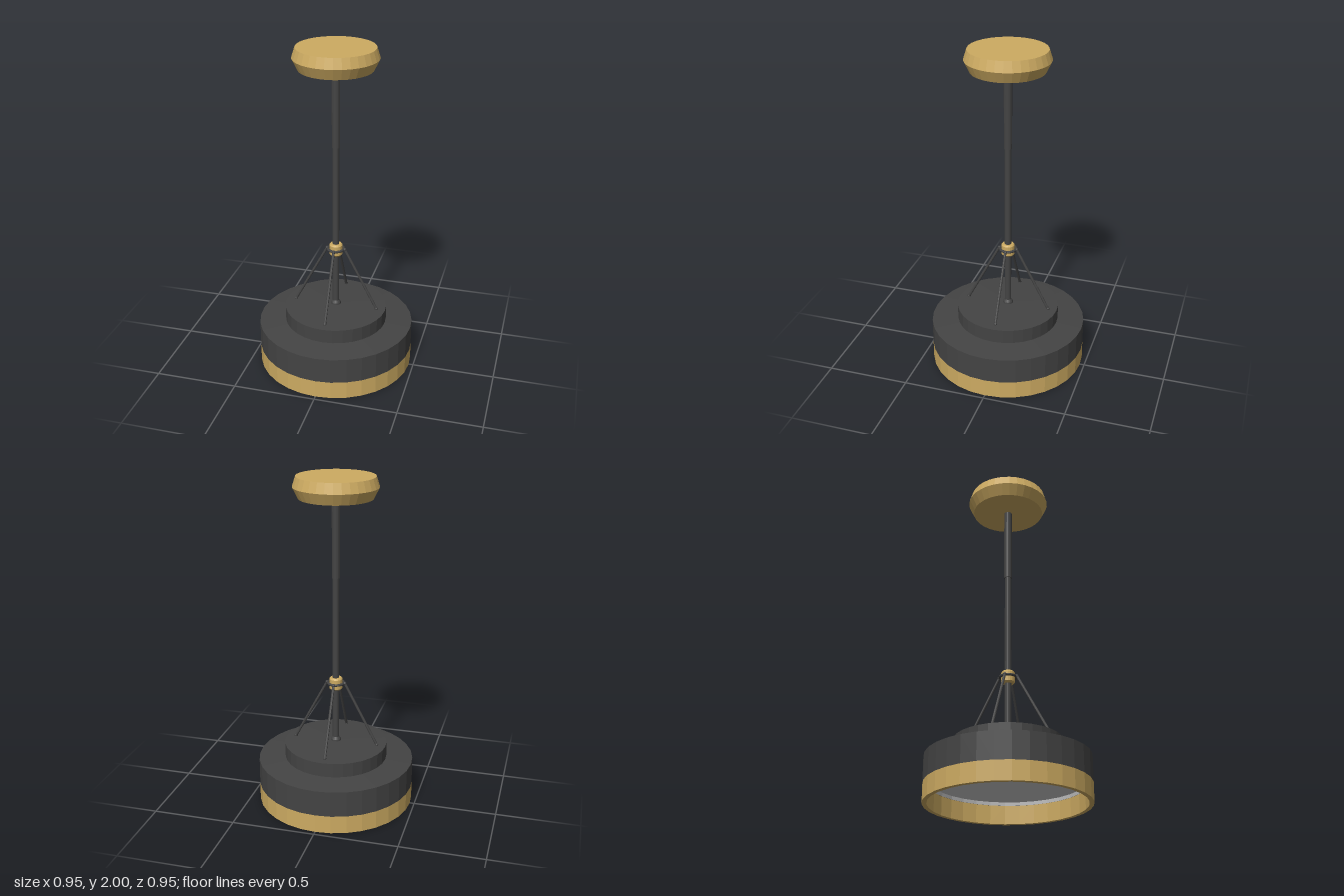
import * as THREE from 'three';

const SIDES = 32;
const paint = (color) => new THREE.MeshStandardMaterial({ color, flatShading: true, side: THREE.DoubleSide });

export function createModel() {
  const model = new THREE.Group();
  model.name = 'pendantLamp';
  const dark = paint(0x444444);
  const brass = paint(0xcdab62);
  const pale = paint(0xcccccc);

  const add = (name, geometry, material) => {
    const mesh = new THREE.Mesh(geometry, material);
    mesh.name = name;
    model.add(mesh);
    return mesh;
  };
  // Turned part from [radius, height] pairs
  const turned = (name, profile, material, sides = SIDES) =>
    add(name, new THREE.LatheGeometry(profile.map(([r, y]) => new THREE.Vector2(r, y)), sides), material);
  // Straight round bar between two points
  const bar = (name, a, b, radius, material) => {
    const mesh = add(name, new THREE.CylinderGeometry(radius, radius, a.distanceTo(b), 10), material);
    mesh.position.copy(a).add(b).multiplyScalar(0.5);
    mesh.quaternion.setFromUnitVectors(new THREE.Vector3(0, 1, 0), b.clone().sub(a).normalize());
  };

  // Ceiling canopy
  turned('canopy', [[0, 1.875], [0.215, 1.875], [0.247, 1.94], [0.228, 2], [0, 2]], brass);

  // Telescoping stem and its foot
  turned('upperStem', [[0, 1.41], [0.024, 1.41], [0.024, 1.88], [0, 1.88]], dark, 16);
  turned('lowerStem', [[0.02, 0.37], [0.02, 1.42]], dark, 16);
  turned('stemFoot', [[0.032, 0.37], [0.03, 0.385], [0.02, 0.4]], dark, 16);

  // Collar with the ring that carries the struts
  turned('collar', [[0.018, 0.715], [0.033, 0.715], [0.04, 0.723], [0.04, 0.782], [0.033, 0.79], [0.018, 0.79]], brass, 20);
  const ring = add('strutRing', new THREE.TorusGeometry(0.048, 0.008, 8, 24), dark);
  ring.rotation.x = Math.PI / 2;
  ring.position.y = 0.755;

  // Four slanting struts with ball ends
  for (let i = 0; i < 4; i++) {
    const angle = i * Math.PI / 2;
    const at = (r, y) => new THREE.Vector3(r * Math.cos(angle), y, r * Math.sin(angle));
    const top = at(0.055, 0.755);
    const foot = at(0.257, 0.372);
    bar('strut', top, foot, 0.008, dark);
    for (const end of [top, foot]) {
      add('strutEnd', new THREE.SphereGeometry(0.0105, 10, 8), dark).position.copy(end);
    }
  }

  // Stepped shade
  turned('shadeCap', [[0.312, 0.275], [0.312, 0.367], [0, 0.376]], dark);
  turned('shade', [[0.473, 0.11], [0.473, 0.268], [0.31, 0.28]], dark);

  // Brass band with a thin lower lip
  turned('shadeBand', [[0.473, 0.11], [0.473, 0], [0.447, 0], [0.447, 0.11], [0.473, 0.11]], brass);

  // Recessed diffuser
  turned('diffuser', [[0.445, 0.11], [0.442, 0.13], [0, 0.13]], pale);

  return model;
}
